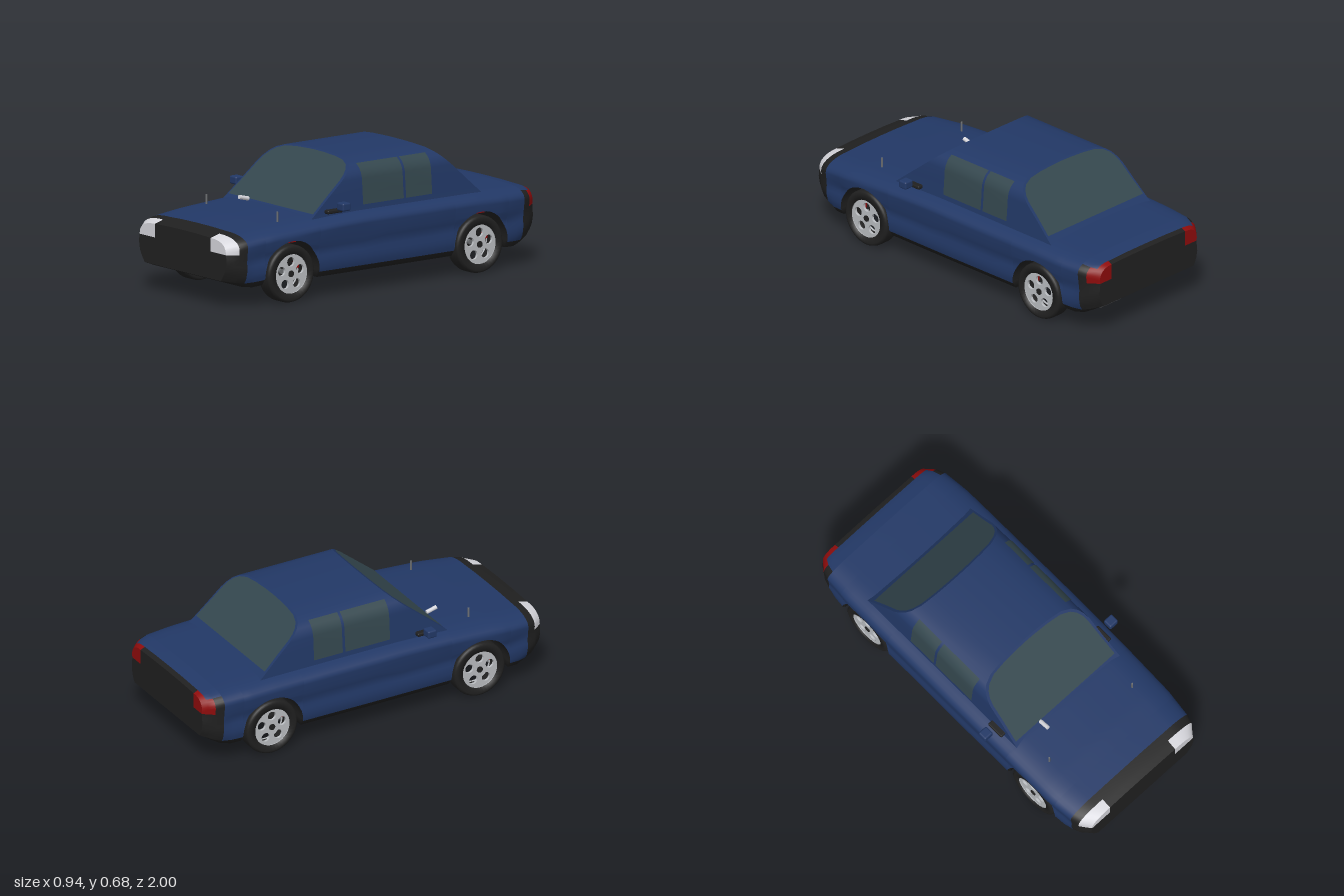
import * as THREE from 'three';
import { RoundedBoxGeometry } from 'three/addons/geometries/RoundedBoxGeometry.js';

const mat = (name, color, side = THREE.FrontSide) => {
  const m = new THREE.MeshStandardMaterial({ color, side });
  m.name = name;
  return m;
};

// piecewise linear lookup
function lerpTable(t, v) {
  if (v <= t[0][0]) return t[0][1];
  for (let i = 1; i < t.length; i++) {
    if (v <= t[i][0]) {
      const [a, p] = t[i - 1], [b, q] = t[i];
      return p + (q - p) * (v - a) / (b - a);
    }
  }
  return t[t.length - 1][1];
}

// skin between rows of points; pick(centre) gives a material index per quad
function loft(rows, pick = () => 0) {
  const n = rows[0].length, pos = rows.flat(2), buckets = [];
  for (let s = 0; s < rows.length - 1; s++) {
    for (let i = 0; i < n - 1; i++) {
      const a = s * n + i, b = a + 1, d = a + n, c = d + 1;
      const mid = [0, 1, 2].map(k => (pos[a * 3 + k] + pos[b * 3 + k] + pos[c * 3 + k] + pos[d * 3 + k]) / 4);
      const g = pick(mid);
      (buckets[g] ??= []).push(a, b, d, b, c, d);
    }
  }
  const geo = new THREE.BufferGeometry();
  geo.setAttribute('position', new THREE.Float32BufferAttribute(pos, 3));
  const index = [];
  buckets.forEach((list, g) => { geo.addGroup(index.length, list.length, g); index.push(...list); });
  geo.setIndex(index);
  geo.computeVertexNormals();
  return geo;
}

// body shape rules along z
const AXLE = 0.615, ARCH = 0.175;
const TOP = [[-1, 0.392], [-0.97, 0.405], [-0.9, 0.417], [-0.6, 0.427], [0.2, 0.43], [0.45, 0.42], [0.7, 0.405], [0.9, 0.387], [0.945, 0.379], [1, 0.363]];
const WIDTH = [[-1, 0.36], [-0.94, 0.407], [-0.9, 0.418], [-0.75, 0.432], [0, 0.436], [0.75, 0.432], [0.9, 0.418], [0.94, 0.41], [1, 0.362]];
const BASE = [[-1, 0.17], [-0.9, 0.135], [-0.8, 0.14], [0.8, 0.14], [0.9, 0.13], [1, 0.145]];
const endness = z => Math.max(0, (Math.abs(z) - 0.85) / 0.15);
const lampInner = z => 0.25 - 0.02 * z;
const lampBase = z => (z > 0 ? 0.287 : 0.305);

function baseY(z) {
  const d = Math.abs(Math.abs(z) - AXLE);
  return d <= ARCH + 1e-6 ? 0.15 + Math.sqrt(Math.max(0, ARCH * ARCH - d * d)) : lerpTable(BASE, z);
}
function sideX(y, z) {
  const e = endness(z);
  return lerpTable(WIDTH, z) + lerpTable([[0.12, -0.03 - 0.05 * e], [0.15, -0.012 - 0.03 * e], [0.2, -0.01], [0.25, -0.02 * (1 - e)], [0.3, -0.007], [0.35, 0]], y);
}
// half cross-section, sill to centre line
function halfRing(z) {
  const yb = baseY(z), top = lerpTable(TOP, z), xi = lampInner(z);
  const mid = Math.max(lampBase(z), yb + 0.003), ys = Math.max(top - 0.07, mid + 0.003), pts = [];
  for (let k = 0; k <= 7; k++) {
    const y = yb + (mid - yb) * k / 7;
    pts.push([sideX(y, z), y]);
  }
  const w = sideX(ys, z);
  for (let k = 0; k <= 8; k++) {
    const a = Math.PI / 2 * k / 8;
    pts.push([xi + (w - xi) * Math.pow(Math.max(0, Math.cos(a)), 0.8), ys + (top - 0.005 - ys) * Math.pow(Math.sin(a), 0.9)]);
  }
  pts.push([xi / 2, top - 0.001], [0, top]);
  return pts;
}
function fullRing(z) {
  const h = halfRing(z);
  return [...h, ...h.slice(0, -1).reverse().map(([x, y]) => [-x, y])].map(([x, y]) => [x, y, z]);
}

// cabin outline, sill to centre line, and its raked ends
const CABIN = [[0.364, 0.405], [0.355, 0.5], [0.35, 0.575], [0.342, 0.602], [0.326, 0.627], [0.3, 0.647], [0.25, 0.664], [0.17, 0.672], [0.08, 0.676], [0, 0.677]];
const screenZ = y => 0.43 - (y - 0.42) * 1.216;
const rearZ = y => -0.65 + (y - 0.42) * 1.1;

export function createModel() {
  const blue = mat('body blue', 0x223866), black = mat('black trim', 0x202020);
  const glass = mat('tinted glass', 0x34474e), white = mat('headlight white', 0xd6d6dc);
  const red = mat('signal red', 0x8e0c0c), silver = mat('rim silver', 0xb9bcc0, THREE.DoubleSide);
  const grey = mat('exhaust grey', 0x6c6f72);
  const car = new THREE.Group();
  car.name = 'car';
  const add = (name, geo, material, x = 0, y = 0, z = 0, parent = car) => {
    const m = new THREE.Mesh(geo, material);
    m.name = name;
    m.position.set(x, y, z);
    parent.add(m);
    return m;
  };

  // main shell with open wheel arches
  const zs = [-0.9, -0.85, -0.3, -0.15, 0, 0.15, 0.3, 0.85, 0.9];
  for (const c of [-AXLE, AXLE]) {
    zs.push(c - ARCH - 0.001, c + ARCH + 0.001);
    for (let k = 0; k <= 20; k++) zs.push(c + ARCH * Math.cos(Math.PI * k / 20));
  }
  zs.sort((a, b) => a - b);
  add('bodyShell', loft(zs.map(fullRing)), blue);

  // nose and tail with wrapped lamps
  const frontZ = [0.9, 0.945, 0.97, 1], tailZ = [-1, -0.975, -0.945, -0.9];
  const isLamp = ([x, y, z]) => y > lampBase(z) && Math.abs(x) > lampInner(z) && Math.abs(z) > 0.945;
  const endMats = lamp => [black, lamp, blue];
  add('nose', loft(frontZ.map(fullRing), p => (isLamp(p) ? 1 : 0)), endMats(white));
  add('tail', loft(tailZ.map(fullRing), p => {
    if (p[2] > -0.975 && p[1] > lerpTable(TOP, p[2]) - 0.02) return 2;
    return isLamp(p) ? 1 : 0;
  }), endMats(red));
  for (const s of [1, -1]) {
    const xi = lampInner(s);
    const rows = halfRing(s).map(([x, y]) => [-x, -Math.min(x, xi), Math.min(x, xi), x].map(v => [s * v, y, s]));
    add(s > 0 ? 'frontFace' : 'rearFace', loft(rows, p => (isLamp(p) ? 1 : 0)), endMats(s > 0 ? white : red));
  }

  // sills, floor and arch liners
  const floorRows = [...tailZ.slice(0, 3), ...zs, ...frontZ.slice(1)].map(z => {
    const yb = baseY(z), x = sideX(yb, z), yf = yb - 0.03 * Math.max(0, 1 - endness(z)) * (yb > 0.145 && Math.abs(z) < 0.85 ? 0 : 1);
    return [[-x, yb, z], [-x + 0.02, yf, z], [x - 0.02, yf, z], [x, yb, z]];
  });
  add('floor', loft(floorRows), black);

  // cabin sides and roof
  const outline = [...CABIN, ...CABIN.slice(0, -1).reverse().map(([x, y]) => [-x, y])];
  add('cabin', loft([0, 1].map(t => outline.map(([x, y]) => [x, y, t ? screenZ(y) : rearZ(y)]))), blue);
  // raked screens: blue frame with glass just proud of it
  for (const s of [1, -1]) {
    const zAt = s > 0 ? screenZ : rearZ;
    const face = (inset, lift, y0) => loft(CABIN.map(([x, y]) => {
      const yy = y0 + (y - 0.405) * (0.677 - inset * 0.5 - y0) / 0.272;
      const xx = Math.max(0, x - inset);
      return [-xx, xx].map(v => [s * v, yy + lift * 0.7, zAt(yy) + s * lift * 0.6]);
    }));
    add(s > 0 ? 'windscreenFrame' : 'rearWindowFrame', face(0, 0, 0.405), blue);
    add(s > 0 ? 'windscreen' : 'rearWindow', face(0.015, 0.004, s > 0 ? 0.425 : 0.445), glass);
  }
  // side windows following the cabin curve
  const byY = CABIN.map(([x, y]) => [y, x]);
  for (const s of [1, -1]) {
    for (const [z0, z1] of [[-0.155, 0.11], [-0.34, -0.17]]) {
      const rows = [0.44, 0.5, 0.575, 0.602, 0.627, 0.647].map(y => {
        const x = s * (lerpTable(byY, y) + 0.003);
        const cols = [[x, y + 0.002, z1], [x, y + 0.002, z0]];
        return s > 0 ? cols : cols.reverse();
      });
      add('sideWindow', loft(rows), glass);
    }
    add('doorMirror', new RoundedBoxGeometry(0.056, 0.042, 0.052, 3, 0.009), blue, s * 0.443, 0.468, 0.3);
    add('mirrorMount', new RoundedBoxGeometry(0.04, 0.02, 0.1, 2, 0.007), black, s * 0.37, 0.434, 0.31);
    add('hoodPin', new THREE.CylinderGeometry(0.005, 0.005, 0.055, 10), grey, s * 0.293, 0.428, AXLE);
  }
  const nozzle = add('hoodNozzle', new THREE.CylinderGeometry(0.011, 0.011, 0.06, 14), white, -0.181, 0.435, 0.46);
  nozzle.rotation.x = Math.PI / 2 - 0.25;

  // wheels
  const tyreProfile = [[0.103, -0.045], [0.135, -0.0475], [0.146, -0.042], [0.15, -0.03], [0.15, 0.03], [0.146, 0.042], [0.135, 0.0475], [0.103, 0.045], [0.1, 0], [0.103, -0.045]].map(p => new THREE.Vector2(...p));
  const tyre = new THREE.LatheGeometry(tyreProfile, 40).rotateZ(-Math.PI / 2);
  const disc = new THREE.Shape().absarc(0, 0, 0.104, 0, Math.PI * 2);
  for (let k = 0; k < 5; k++) {
    const a = Math.PI / 2 + k * Math.PI * 0.4;
    disc.holes.push(new THREE.Path().absarc(0.063 * Math.cos(a), 0.063 * Math.sin(a), 0.024, 0, Math.PI * 2, true));
  }
  const rim = new THREE.ExtrudeGeometry(disc, { depth: 0.014, bevelEnabled: false, curveSegments: 32 }).rotateY(Math.PI / 2);
  const barrel = new THREE.CylinderGeometry(0.102, 0.102, 0.085, 40, 1, true).rotateZ(Math.PI / 2);
  const hub = new THREE.CylinderGeometry(0.017, 0.017, 0.03, 16).rotateZ(Math.PI / 2);
  for (const s of [1, -1]) {
    for (const z of [AXLE, -AXLE]) {
      const wheel = new THREE.Group();
      wheel.name = (z > 0 ? 'front' : 'rear') + (s > 0 ? 'Left' : 'Right') + 'Wheel';
      wheel.position.set(s * 0.3675, 0.15, z);
      wheel.rotation.y = s > 0 ? 0 : Math.PI;
      add('tyre', tyre, black, 0, 0, 0, wheel);
      add('rim', rim, silver, 0.024, 0, 0, wheel);
      add('rimBarrel', barrel, silver, 0, 0, 0, wheel);
      add('hub', hub, black, 0.028, 0, 0, wheel);
      for (const d of [-1, 1]) add('brakeCaliper', new THREE.BoxGeometry(0.03, 0.03, 0.018), red, -0.02, 0.03, d * 0.078, wheel);
      car.add(wheel);
      add('archMarker', new THREE.BoxGeometry(0.05, 0.012, 0.06), red, s * 0.385, 0.32, z);
    }
  }

  // axles, subframes and exhaust
  for (const z of [AXLE, -AXLE]) {
    add('axle', new THREE.CylinderGeometry(0.013, 0.013, 0.66, 14).rotateZ(Math.PI / 2), grey, 0, 0.15, z);
    add('subframe', new THREE.BoxGeometry(0.54, 0.02, 0.37), black, 0, 0.12, z);
    for (const d of [-0.12, 0.12]) add('crossRod', new THREE.CylinderGeometry(0.007, 0.007, 0.63, 10).rotateZ(Math.PI / 2), grey, 0, 0.11, z + d);
  }
  add('exhaustPipe', new THREE.CylinderGeometry(0.012, 0.012, 1.54, 16).rotateX(Math.PI / 2), grey, 0.117, 0.098, 0.01);
  add('muffler', new RoundedBoxGeometry(0.162, 0.04, 0.135, 4, 0.016), grey, 0.142, 0.093, -0.807);
  return car;
}
